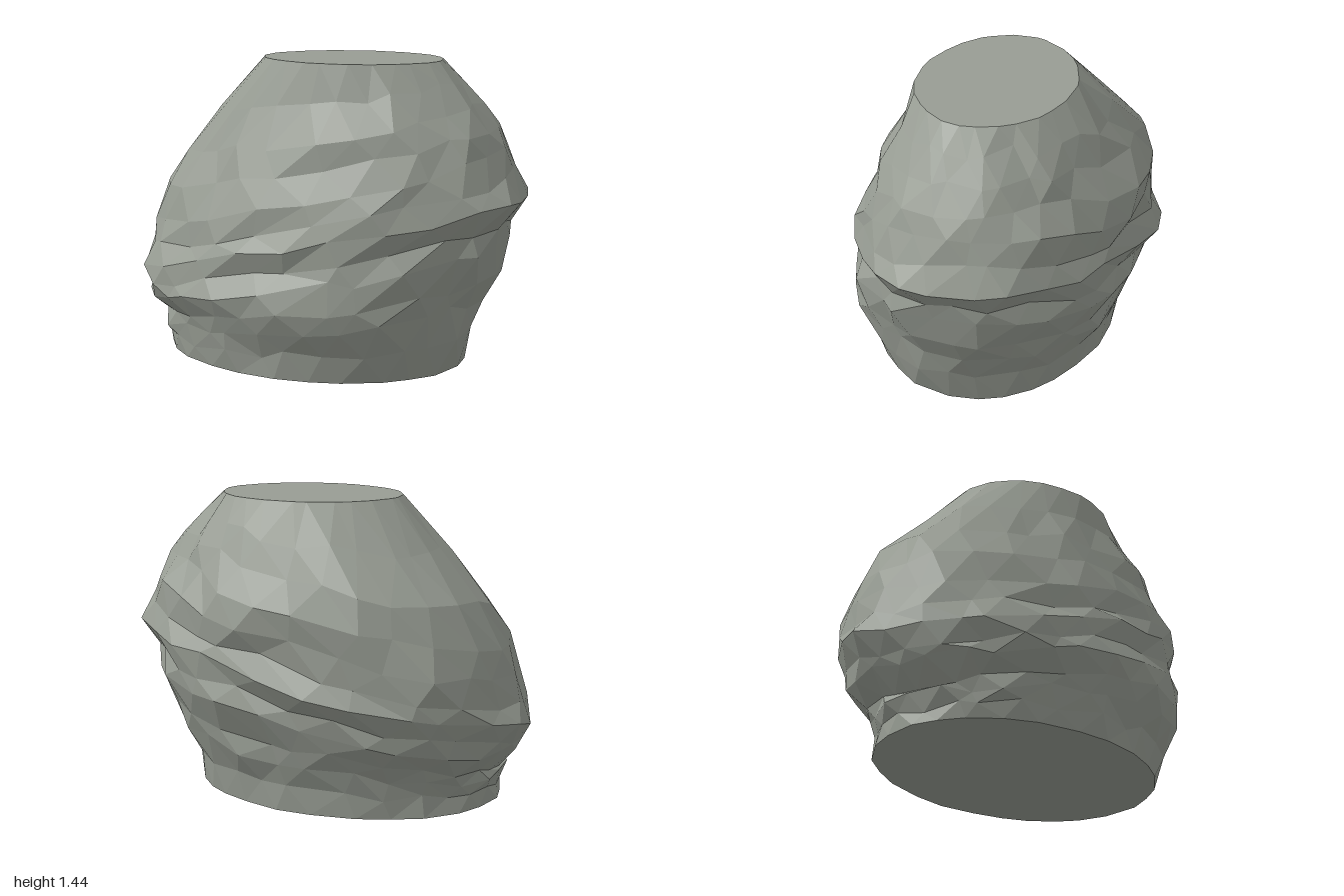
import * as THREE from 'three';

const HEIGHT = 1.44;
const SEGMENTS = 26;

// Outline by height: y, min x, max x, min z, max z
const OUTLINE = [
  [0, -0.82, 0.70, -0.54, 0.62],
  [0.17, -0.85, 0.76, -0.55, 0.67],
  [0.34, -0.97, 0.78, -0.65, 0.74],
  [0.47, -1.0, 0.91, -0.68, 0.69],
  [0.60, -0.94, 0.89, -0.73, 0.68],
  [0.82, -0.89, 1.0, -0.70, 0.61],
  [1.0, -0.76, 0.92, -0.71, 0.52],
  [1.15, -0.63, 0.84, -0.59, 0.49],
  [1.28, -0.48, 0.73, -0.52, 0.41],
  [1.44, -0.33, 0.57, -0.38, 0.35],
];

// Rock layers: base height and how far the layer juts out or is undercut
const LAYERS = [
  [0, 0], [0.12, 0], [0.23, 0.012], [0.31, -0.02], [0.43, 0.014], [0.51, -0.02], [0.62, 0.014],
  [0.71, -0.016], [0.83, 0.005], [0.97, 0], [1.11, 0.005], [1.27, 0], [HEIGHT, 0],
];

function seeded(seed) {
  return () => {
    seed = (seed * 16807) % 2147483647;
    return seed / 2147483647;
  };
}

function outlineAt(y) {
  let k = 1;
  while (k < OUTLINE.length - 1 && OUTLINE[k][0] < y) k++;
  const a = OUTLINE[k - 1], b = OUTLINE[k];
  const t = (y - a[0]) / (b[0] - a[0]);
  return a.map((v, i) => v + (b[i] - v) * t);
}

function rockGeometry() {
  const random = seeded(4711);
  const jitter = (amount) => (random() * 2 - 1) * amount;
  const positions = [], index = [];

  // Rings follow strata that climb towards +x
  LAYERS.forEach(([base, ledge], row) => {
    const isEnd = row === 0 || row === LAYERS.length - 1;
    const envelope = Math.sin(Math.PI * base / HEIGHT);
    for (let i = 0; i < SEGMENTS; i++) {
      const angle = (i + (row % 2) * 0.5 + jitter(0.28)) / SEGMENTS * Math.PI * 2;
      const c = Math.cos(angle), s = Math.sin(angle);
      const y = isEnd ? base : base + envelope * (0.21 * c - 0.04 * s) + jitter(0.025);
      const [, x0, x1, z0, z1] = outlineAt(y);

      // Corners: plain at front -x, full low and hollow high at back +x, full elsewhere
      const waves = s > 0 ? (c > 0 ? 1 : 0) : (c > 0 ? 2 : 1);
      const corner = 0.05 * Math.abs(c * s) * Math.sin(waves * Math.PI * y / HEIGHT);
      const rough = isEnd ? jitter(0.006) : jitter(0.018) - 0.012;
      const grow = ledge * (0.2 + 1.3 * random()) + corner + rough;
      positions.push(
        (x0 + x1) / 2 + c * ((x1 - x0) / 2 + grow),
        y,
        (z0 + z1) / 2 + s * ((z1 - z0) / 2 + grow),
      );
    }
  });

  // Faceted sides, with the diagonal following the half-step between rings
  for (let row = 0; row < LAYERS.length - 1; row++) {
    for (let i = 0; i < SEGMENTS; i++) {
      const j = (i + 1) % SEGMENTS;
      const a = row * SEGMENTS + i, b = row * SEGMENTS + j;
      const d = a + SEGMENTS, e = b + SEGMENTS;
      if (row % 2) index.push(a, d, e, a, e, b);
      else index.push(a, d, b, b, d, e);
    }
  }

  // Flat base and flat cut top
  const last = (LAYERS.length - 1) * SEGMENTS;
  const bottom = positions.length / 3, top = bottom + 1;
  positions.push(-0.06, 0, 0.04, 0.12, HEIGHT, -0.015);
  for (let i = 0; i < SEGMENTS; i++) {
    const j = (i + 1) % SEGMENTS;
    index.push(bottom, i, j, top, last + j, last + i);
  }

  const geometry = new THREE.BufferGeometry();
  geometry.setAttribute('position', new THREE.Float32BufferAttribute(positions, 3));
  geometry.setIndex(index);
  const faceted = geometry.toNonIndexed();
  faceted.computeVertexNormals();
  return faceted;
}

export function createModel() {
  const group = new THREE.Group();
  group.name = 'boulder';
  const material = new THREE.MeshStandardMaterial({ color: 0x989d94, flatShading: true });
  const rock = new THREE.Mesh(rockGeometry(), material);
  rock.name = 'rock';
  group.add(rock);
  return group;
}
